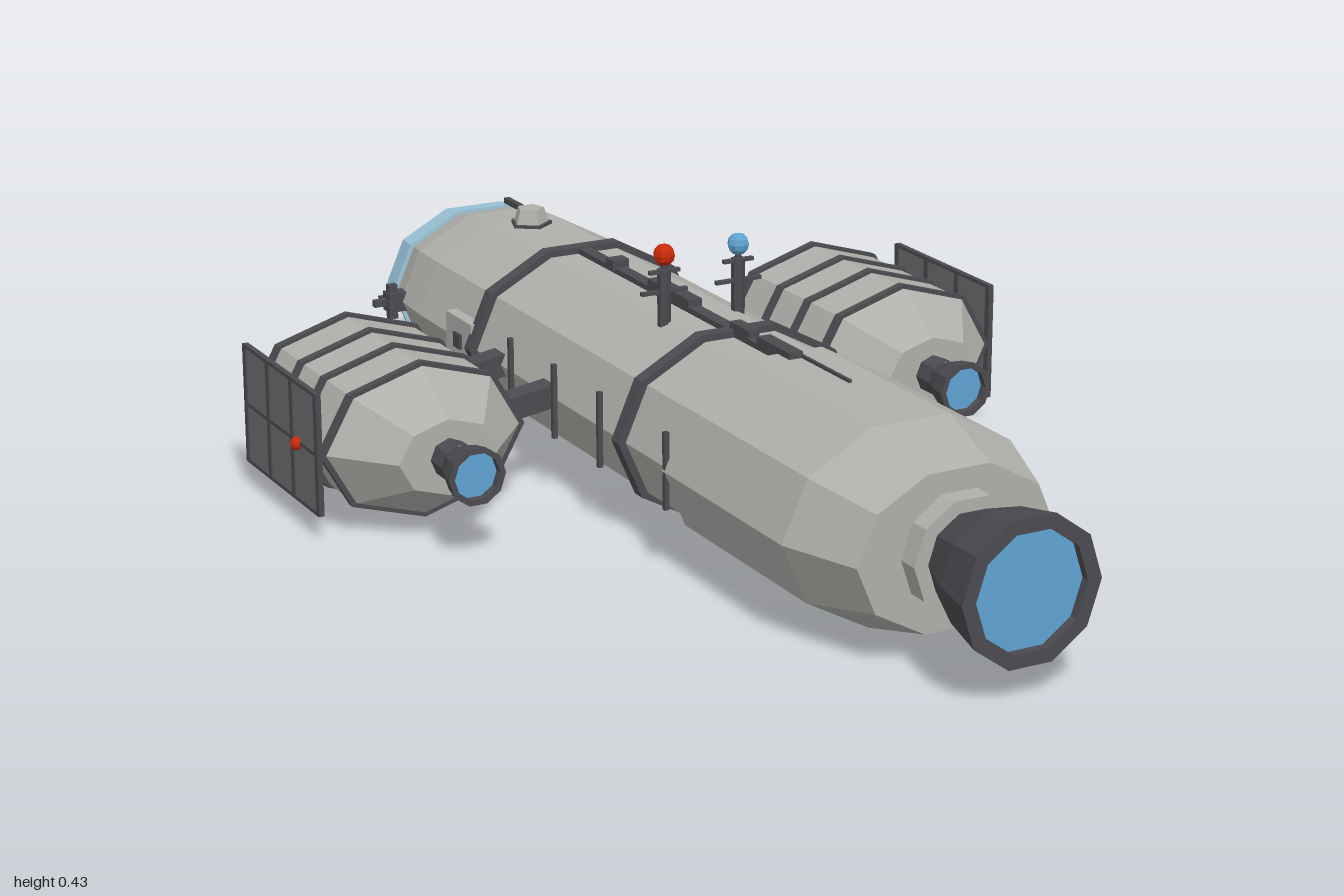
import * as THREE from 'three';

const mat = (name, color) => {
  const m = new THREE.MeshStandardMaterial({ color });
  m.name = name;
  return m;
};

export function createModel() {
  const hull = mat('hull grey', 0xafafab);
  const dark = mat('dark metal', 0x4b4b50);
  const panelGrey = mat('panel grey', 0x6a6c6d);
  const blue = mat('engine blue', 0x5fa3d3);
  const glass = mat('window blue', 0x9dc8dc);
  const red = mat('beacon red', 0xcc2a0a);

  const model = new THREE.Group();
  model.name = 'spacecraft';

  const add = (parent, name, geo, material, x = 0, y = 0, z = 0) => {
    const flat = geo.index ? geo.toNonIndexed() : geo;
    flat.computeVertexNormals();
    const mesh = new THREE.Mesh(flat, material);
    mesh.name = name;
    mesh.position.set(x, y, z);
    parent.add(mesh);
    return mesh;
  };
  const box = (parent, name, w, h, d, material, x, y, z) =>
    add(parent, name, new THREE.BoxGeometry(w, h, d), material, x, y, z);
  const ball = (parent, name, r, material, x, y, z) =>
    add(parent, name, new THREE.SphereGeometry(r, 8, 6), material, x, y, z);

  // Faceted body of revolution along z; profile is [z, radius], z ascending
  const turned = (parent, name, profile, sides, squash, material, x, y, z = 0) => {
    const pts = profile.map(([pz, r]) => new THREE.Vector2(r, pz));
    const geo = new THREE.LatheGeometry(pts, sides, Math.PI / 2);
    geo.rotateX(Math.PI / 2).scale(1, squash, 1);
    return add(parent, name, geo, material, x, y, z);
  };
  const band = (parent, name, z, width, r, sides, squash, x, y) =>
    turned(parent, name, [[z - width / 2, r - 0.03], [z - width / 2, r], [z + width / 2, r], [z + width / 2, r - 0.03]],
      sides, squash, dark, x, y);

  // Engine bell with a glowing disc just inside the rim
  const engine = (parent, name, z0, z1, r0, r1, sides, x, y) => {
    const mid = (z0 + z1) / 2, rim = r1 * 0.8;
    turned(parent, name + 'Bell', [[z0, 0], [z0, r0], [mid, r0 + (r1 - r0) * 0.65], [z1, r1], [z1, rim], [z1 - 0.015, rim]],
      sides, 1, dark, x, y);
    turned(parent, name + 'Glow', [[z1 - 0.014, rim], [z1 - 0.013, 0]], sides, 1, blue, x, y);
  };

  // Main hull: nose at -z, engine at +z
  const CY = 0.17, SQ = 0.74;
  turned(model, 'noseCone', [[-1, 0], [-0.9, 0.095], [-0.805, 0.165], [-0.805, 0]], 10, SQ, hull, 0, CY);
  turned(model, 'windowBand', [[-0.807, 0.155], [-0.807, 0.172], [-0.745, 0.188], [-0.745, 0.16]], 10, SQ, glass, 0, CY);
  turned(model, 'frontHull', [[-0.745, 0], [-0.745, 0.18], [-0.69, 0.197], [-0.6, 0.203], [0.32, 0.203]], 10, SQ, hull, 0, CY);
  turned(model, 'rearHull', [[0.315, 0.19], [0.315, 0.214], [0.68, 0.214], [0.81, 0.168], [0.81, 0]], 10, 0.76, hull, 0, CY);
  turned(model, 'engineCollar', [[0.805, 0.095], [0.845, 0.095], [0.845, 0]], 10, 0.97, hull, 0, CY);
  engine(model, 'mainEngine', 0.84, 1, 0.07, 0.116, 10, 0, CY);
  for (const z of [-0.375, 0.165]) band(model, 'hullRing', z, 0.024, 0.216, 10, SQ + 0.01, 0, CY);

  // Dorsal spine with raised blocks and a thin aerial
  box(model, 'spine', 0.022, 0.014, 0.72, dark, 0, 0.315, -0.01);
  for (const [z, len, w] of [[0.3, 0.1, 0.024], [0.19, 0.06, 0.02], [-0.04, 0.14, 0.024], [-0.24, 0.025, 0.03]])
    box(model, 'spineBlock', w, 0.018, len, dark, 0, 0.326, z);
  box(model, 'rearAerial', 0.005, 0.005, 0.15, dark, 0.012, 0.327, 0.415);

  // Ventral aerial
  box(model, 'bellyMount', 0.022, 0.024, 0.04, dark, 0, 0.018, 0.16);
  box(model, 'bellyAerial', 0.008, 0.008, 0.13, dark, 0, 0.015, 0.205);

  // Small dome with a forward rod
  const dome = new THREE.CylinderGeometry(0.024, 0.035, 0.034, 5);
  add(model, 'domeTurret', dome, hull, 0, 0.326, -0.57);
  add(model, 'domeBase', new THREE.CylinderGeometry(0.038, 0.038, 0.012, 5), dark, 0, 0.312, -0.57);
  box(model, 'domeRod', 0.01, 0.01, 0.08, dark, 0, 0.334, -0.625);

  // Everything mirrored to both sides
  for (const s of [1, -1]) {
    const side = new THREE.Group();
    side.name = s > 0 ? 'leftSide' : 'rightSide';
    model.add(side);
    const beacon = s > 0 ? blue : red;

    // Beacon mast on the back
    const mx = s * 0.067;
    add(side, 'mastBase', new THREE.CylinderGeometry(0.011, 0.011, 0.1, 6), dark, mx, 0.35, 0.05);
    add(side, 'mast', new THREE.CylinderGeometry(0.005, 0.005, 0.12, 6), dark, mx, 0.36, 0.05);
    box(side, 'lowerCrossbar', 0.082, 0.006, 0.008, dark, mx, 0.363, 0.05);
    box(side, 'upperCrossbar', 0.054, 0.006, 0.008, dark, mx, 0.396, 0.05);
    ball(side, 'mastBeacon', 0.018, beacon, mx, 0.423, 0.05);

    // Steering thrusters near the nose
    box(side, 'thrusterBlock', 0.036, 0.034, 0.028, dark, s * 0.205, CY, -0.695);
    box(side, 'thrusterArm', 0.03, 0.012, 0.012, dark, s * 0.232, CY, -0.695);
    for (const d of [-1, 1]) {
      box(side, 'thrusterNozzle', 0.016, 0.014, 0.014, dark, s * 0.212, CY + d * 0.024, -0.695);
      box(side, 'thrusterTip', 0.012, 0.012, 0.012, dark, s * 0.222, CY, -0.695 + d * 0.018);
    }

    // Hatch plate and thin side rails
    box(side, 'sideHatch', 0.03, 0.08, 0.1, hull, s * 0.191, CY, -0.43);
    box(side, 'hatchWindow', 0.006, 0.026, 0.026, dark, s * 0.208, CY, -0.43);
    for (const z of [0.32, 0.1, -0.06, -0.22])
      box(side, 'sideRail', 0.008, 0.125, 0.008, dark, s * 0.209, CY, z);

    // Struts to the pod
    const px = s * 0.443, py = 0.146;
    for (const z of [-0.29, -0.105]) {
      const strut = box(side, 'podStrut', 0.16, 0.038, 0.04, dark, s * 0.24, 0.162, z);
      strut.rotation.z = -s * 0.15;
    }

    // Side pod with rings and its own engine
    const PS = 0.735;
    turned(side, 'pod', [[-0.45, 0], [-0.355, 0.168], [-0.053, 0.168], [0.045, 0.085], [0.045, 0]], 8, PS, hull, px, py);
    for (const z of [-0.35, -0.253, -0.16, -0.058]) band(side, 'podRing', z, 0.014, 0.176, 8, PS, px, py);
    turned(side, 'podCollar', [[0.04, 0.032], [0.085, 0.032]], 8, 1, dark, px, py);
    engine(side, 'podEngine', 0.08, 0.148, 0.03, 0.048, 10, px, py);

    // Outer panel: plate with a dark frame, two rows by three columns
    const ox = s * 0.62;
    box(side, 'panelPlate', 0.005, 0.195, 0.3, panelGrey, ox, 0.148, -0.203);
    for (const z of [-0.35, -0.253, -0.155, -0.056])
      box(side, 'panelUpright', 0.009, 0.2, 0.012, dark, ox, 0.148, z);
    for (const y of [0.05, 0.148, 0.246])
      box(side, 'panelRail', 0.009, 0.006, 0.3, dark, ox, y, -0.203);
    ball(side, 'panelBeacon', 0.011, beacon, s * 0.626, 0.146, -0.13);
  }
  return model;
}
